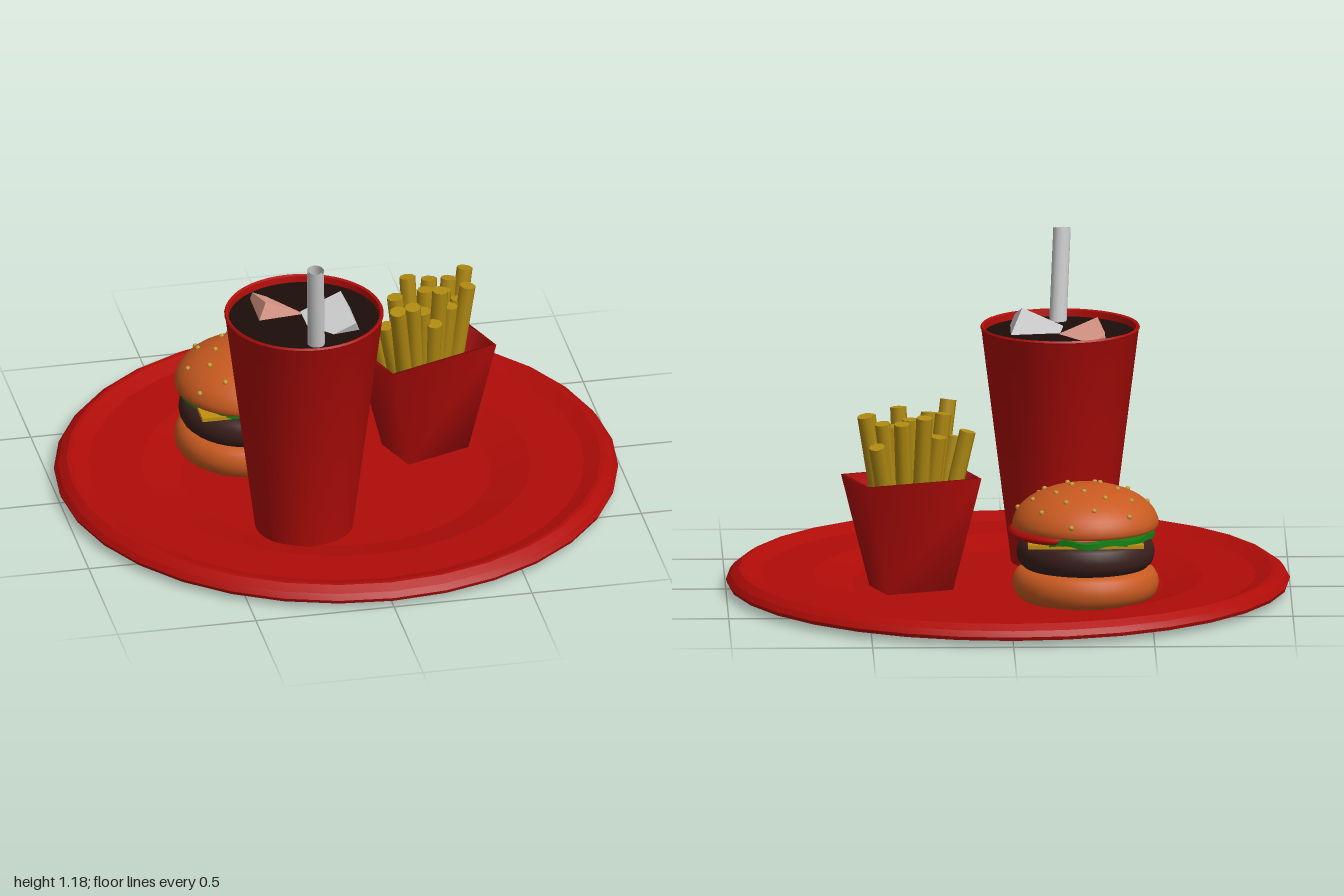
import * as THREE from 'three';
import { mergeVertices, toCreasedNormals } from 'three/addons/utils/BufferGeometryUtils.js';

const RED = 0xb00c08, BUN = 0xc85a20, FRY = 0xb08a12;

function add(parent, name, geometry, color, position = [0, 0, 0], side = THREE.FrontSide) {
  const mesh = new THREE.Mesh(geometry, new THREE.MeshStandardMaterial({ color, side }));
  mesh.name = name;
  mesh.position.set(...position);
  parent.add(mesh);
  return mesh;
}

// Profile runs from the bottom axis outward, up and back to the axis
function lathe(points, segments = 32, crease = 0.5) {
  const g = new THREE.LatheGeometry(points.map(p => new THREE.Vector2(...p)), segments);
  return toCreasedNormals(g, crease);
}

// Disc with rounded edge
function roundedDisc(radius, y0, y1, bulge) {
  const pts = [[0, y0], [radius - bulge, y0]];
  for (let i = 1; i < 8; i++) {
    const a = -Math.PI / 2 + (i / 8) * Math.PI;
    pts.push([radius - bulge + bulge * Math.cos(a), (y0 + y1) / 2 + ((y1 - y0) / 2) * Math.sin(a)]);
  }
  pts.push([radius - bulge, y1], [0, y1]);
  return lathe(pts, 36, 0.9);
}

// Rectangular funnel: rings of four corners joined in order, softly shaded
function rectLoft(rings) {
  const pos = [];
  const corners = rings.map(([w, d, y]) =>
    [[-1, 1], [1, 1], [1, -1], [-1, -1]].map(([sx, sz]) => [sx * w / 2, y, sz * d / 2]));
  for (let r = 0; r < corners.length - 1; r++) {
    for (let i = 0; i < 4; i++) {
      const j = (i + 1) % 4;
      const [a, b, c, d] = [corners[r][i], corners[r][j], corners[r + 1][j], corners[r + 1][i]];
      pos.push(...a, ...b, ...c, ...a, ...c, ...d);
    }
  }
  const g = new THREE.BufferGeometry();
  g.setAttribute('position', new THREE.Float32BufferAttribute(pos, 3));
  const merged = mergeVertices(g);
  merged.computeVertexNormals();
  return merged;
}

// Cylinder between two points
function rod(parent, name, from, to, radius, sides, color, open = false) {
  const a = new THREE.Vector3(...from), b = new THREE.Vector3(...to);
  const dir = b.clone().sub(a);
  const mesh = add(parent, name, new THREE.CylinderGeometry(radius, radius, dir.length(), sides, 1, open),
    color, a.clone().add(b).multiplyScalar(0.5).toArray(), open ? THREE.DoubleSide : THREE.FrontSide);
  mesh.quaternion.setFromUnitVectors(new THREE.Vector3(0, 1, 0), dir.normalize());
}

function makeBurger() {
  const burger = new THREE.Group();
  burger.name = 'burger';
  add(burger, 'bottomBun', roundedDisc(0.26, 0.014, 0.135, 0.05), BUN);
  add(burger, 'patty', roundedDisc(0.245, 0.13, 0.24, 0.04), 0x3a201c);
  add(burger, 'cheese', new THREE.BoxGeometry(0.41, 0.014, 0.41), 0xc09010, [0.003, 0.245, -0.018]);
  // Lettuce with a wavy edge
  const leaf = new THREE.CylinderGeometry(0.24, 0.24, 0.02, 48, 1);
  const p = leaf.attributes.position;
  for (let i = 0; i < p.count; i++) {
    const x = p.getX(i), z = p.getZ(i);
    if (Math.hypot(x, z) < 0.1) continue;
    const a = Math.atan2(z, x), k = 1 + 0.02 * Math.sin(a * 7);
    p.setXYZ(i, x * k, p.getY(i) + 0.006 * Math.sin(a * 9), z * k);
  }
  leaf.computeVertexNormals();
  add(burger, 'lettuce', leaf, 0x128012, [-0.005, 0.26, -0.03]);
  add(burger, 'tomato', roundedDisc(0.23, 0.25, 0.28, 0.015), RED, [0.045, 0, -0.018]);
  // Domed top bun
  const dome = [[0, 0.27], [0.235, 0.27], [0.254, 0.275]];
  for (let i = 0; i <= 12; i++) {
    const a = (i / 12) * Math.PI / 2;
    dome.push([0.26 * Math.cos(a), 0.285 + 0.142 * Math.sin(a)]);
  }
  add(burger, 'topBun', lathe(dome, 36, 0.8), BUN);
  // Seeds spiralling over the dome
  const seed = new THREE.SphereGeometry(0.0095, 8, 6);
  for (let i = 0; i < 24; i++) {
    const r = 0.258 * Math.sqrt((i + 0.9) / 25), a = i * 2.4;
    const y = 0.285 + 0.142 * Math.sqrt(1 - (r / 0.26) ** 2);
    add(burger, 'seed', seed, 0xc09a30, [r * Math.cos(a), y, r * Math.sin(a)]);
  }
  burger.position.set(-0.27, 0, -0.24);
  return burger;
}

function makeDrink() {
  const drink = new THREE.Group();
  drink.name = 'drink';
  add(drink, 'cup', lathe([[0, 0.02], [0.174, 0.02], [0.279, 0.86], [0.283, 0.867], [0.279, 0.874],
    [0.27, 0.87], [0.264, 0.82], [0, 0.82]], 48), RED);
  add(drink, 'liquid', new THREE.CylinderGeometry(0.267, 0.264, 0.025, 48), 0x1c0d0a, [0, 0.835, 0]);
  const ice = new THREE.BoxGeometry(0.16, 0.16, 0.16);
  add(drink, 'iceCube', ice, 0xcccccc, [0.104, 0.81, 0.038]).rotation.set(0.35, 0.15, 0.4);
  add(drink, 'iceCube', ice, 0xdd9a8a, [-0.098, 0.786, -0.086]).rotation.set(-0.25, 0.1, -0.4);
  for (const [name, radius] of [['straw', 0.031], ['strawBore', 0.024]]) {
    rod(drink, name, [0.02, 0.5, 0.135], [-0.012, 1.172, 0.253], radius, 12, 0xcccccc, true);
  }
  drink.position.set(-0.192, 0, 0.362);
  return drink;
}

function makeFries() {
  const fries = new THREE.Group();
  fries.name = 'fries';
  const box = add(fries, 'friesBox', rectLoft([[0, 0, 0.025], [0.25, 0.178, 0.025], [0.435, 0.255, 0.428],
    [0.412, 0.232, 0.428], [0.3, 0.185, 0.19], [0, 0, 0.19]]), RED, [0.345, 0, -0.105]);
  box.rotation.y = Math.PI / 9;
  // Top ends of the fries; each leans out from the middle of the box
  const tops = [
    [0.145, 0.59, -0.1], [0.21, 0.67, 0.065], [0.25, 0.58, -0.15], [0.3, 0.66, -0.2],
    [0.38, 0.64, -0.21], [0.47, 0.57, -0.27], [0.51, 0.67, -0.21], [0.5, 0.65, -0.11],
    [0.43, 0.59, -0.085], [0.39, 0.67, -0.06], [0.32, 0.61, -0.03], [0.35, 0.64, -0.13],
    [0.28, 0.64, -0.01], [0.23, 0.65, -0.08], [0.42, 0.62, -0.15], [0.29, 0.58, -0.1],
    [0.45, 0.64, -0.2], [0.19, 0.56, -0.04], [0.47, 0.59, -0.13], [0.36, 0.56, -0.02]];
  for (const [x, y, z] of tops) {
    rod(fries, 'fry', [0.345 + (x - 0.345) * 0.55, 0.2, -0.105 + (z + 0.105) * 0.38], [x, y, z], 0.029, 8, FRY);
  }
  return fries;
}

export function createModel() {
  const model = new THREE.Group();
  model.name = 'mealOnPlate';
  // Stamped plate: sunken centre, sloping wall, broad rim with a raised lip
  add(model, 'plate', lathe([[0, 0], [0.55, 0], [0.69, 0.034], [0.94, 0.013], [0.995, 0.022],
    [1, 0.035], [0.985, 0.055], [0.955, 0.075], [0.94, 0.075], [0.88, 0.053], [0.69, 0.048],
    [0.55, 0.014], [0, 0.014]], 32, 0.2), RED);
  model.add(makeBurger(), makeDrink(), makeFries());
  return model;
}
